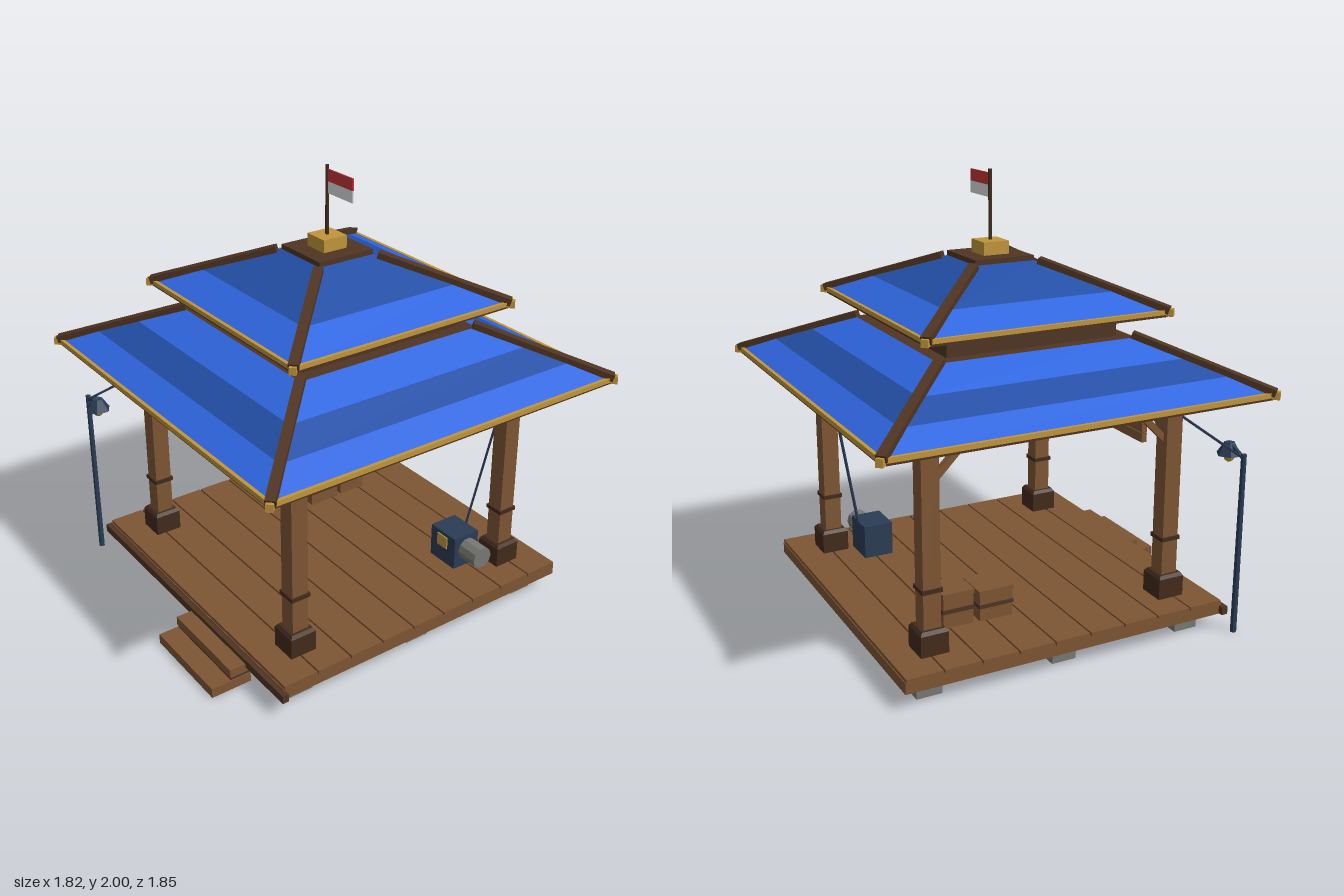
import * as THREE from 'three';

const mat = (name, color) => {
  const m = new THREE.MeshStandardMaterial({ color });
  m.name = name;
  return m;
};

export function createModel() {
  const blue = mat('roof blue', 0x2f66e0), darkBlue = mat('roof dark blue', 0x234fa6);
  const gold = mat('gold', 0xc0953b), wood = mat('wood', 0x7d5533);
  const darkWood = mat('dark wood', 0x4f3422), deepWood = mat('deep wood', 0x422b1c);
  const stone = mat('stone', 0x777773), navy = mat('navy metal', 0x2b3c54);
  const red = mat('flag red', 0xc23434), white = mat('flag white', 0xdcdcdc);

  const root = new THREE.Group();
  root.name = 'pavilion';
  // Symmetric structure, centred slightly behind the origin
  const hall = new THREE.Group();
  hall.name = 'hall';
  hall.position.z = -0.02;
  root.add(hall);

  const add = (parent, name, geo, m, x = 0, y = 0, z = 0) => {
    const mesh = new THREE.Mesh(geo, m);
    mesh.name = name;
    mesh.position.set(x, y, z);
    parent.add(mesh);
    return mesh;
  };
  // Box given by its centre in x and z and its bottom and top heights
  const box = (parent, name, m, w, y0, y1, d, x = 0, z = 0) =>
    add(parent, name, new THREE.BoxGeometry(w, y1 - y0, d), m, x, (y0 + y1) / 2, z);
  // Square bar between two points
  const bar = (parent, name, m, a, b, w, h = w) => {
    const p = new THREE.Vector3(...a), q = new THREE.Vector3(...b);
    const mesh = new THREE.Mesh(new THREE.BoxGeometry(w, h, p.distanceTo(q)), m);
    mesh.name = name;
    mesh.position.copy(p).add(q).multiplyScalar(0.5);
    mesh.lookAt(q);
    parent.add(mesh);
    return mesh;
  };
  // Flat-faced cylinder or frustum
  const facet = (rTop, rBottom, h, sides, open = false) => {
    const g = new THREE.CylinderGeometry(rTop, rBottom, h, sides, 1, open).toNonIndexed();
    g.computeVertexNormals();
    return g;
  };
  // Four-sided frustum with half-widths r0 (bottom) and r1 (top)
  const frustum = (parent, name, m, r0, y0, r1, y1, open) => {
    const g = facet(r1 * Math.SQRT2, r0 * Math.SQRT2, y1 - y0, 4, open);
    g.rotateY(Math.PI / 4);
    return add(parent, name, g, m, 0, (y0 + y1) / 2, 0);
  };
  const corners = [[1, 1], [1, -1], [-1, -1], [-1, 1]];

  // Foundation stones
  for (const x of [-0.63, 0, 0.63])
    for (const z of [-0.625, 0, 0.625]) box(hall, 'foundationStone', stone, 0.115, 0, 0.08, 0.115, x, z);

  // Deck: frame, planks running across, front rim
  box(hall, 'deckFrame', wood, 1.52, 0.08, 0.13, 1.52);
  const n = 9, pitch = 1.52 / n;
  for (let i = 0; i < n; i++)
    box(hall, 'deckPlank', wood, 1.525, 0.125, 0.146, pitch - 0.008, 0, -0.76 + pitch * (i + 0.5));
  box(hall, 'deckGapFloor', deepWood, 1.5, 0.13, 0.132, 1.5);
  box(hall, 'frontRim', darkWood, 1.566, 0.083, 0.12, 0.03, 0, 0.765);

  // Steps
  box(root, 'lowerStep', wood, 0.45, 0, 0.045, 0.19, 0.275, 0.83);
  box(root, 'upperStep', wood, 0.45, 0.06, 0.1, 0.095, 0.275, 0.787);
  box(root, 'stepRiser', darkWood, 0.44, 0.04, 0.062, 0.09, 0.275, 0.785);

  // Posts with bases, collars, capitals and braces
  const P = 0.575;
  for (const [sx, sz] of corners) {
    const post = new THREE.Group();
    post.name = 'cornerPost';
    post.position.set(sx * P, 0, sz * P);
    hall.add(post);
    box(post, 'postBase', deepWood, 0.125, 0.145, 0.24, 0.125);
    frustum(post, 'postBaseTop', deepWood, 0.0625, 0.24, 0.052, 0.255);
    box(post, 'postShaft', wood, 0.078, 0.25, 1.0, 0.078);
    box(post, 'postCollar', deepWood, 0.092, 0.412, 0.43, 0.092);
    frustum(post, 'postCapital', darkWood, 0.045, 0.99, 0.058, 1.03);
    box(post, 'beamJoint', deepWood, 0.125, 1.03, 1.088, 0.125);
    bar(post, 'sideBrace', wood, [-sx * 0.02, 0.87, 0], [-sx * 0.19, 1.04, 0], 0.028);
    bar(post, 'depthBrace', wood, [0, 0.87, -sz * 0.02], [0, 1.04, -sz * 0.19], 0.028);
  }

  // Top beams
  for (const s of [-1, 1]) {
    box(hall, 'crossBeam', darkWood, 1.27, 1.035, 1.085, 0.07, 0, s * P);
    box(hall, 'sideBeam', darkWood, 0.07, 1.035, 1.085, 1.27, s * P, 0);
  }

  // Roof tier: soffit, gold eave, coloured bands, hip beams
  const roofTier = (name, bands, eaveY, hipEnd) => {
    const tier = new THREE.Group();
    tier.name = name;
    hall.add(tier);
    const r = bands[0][0], [re, ye] = hipEnd, R = r + 0.005;
    box(tier, 'soffit', darkWood, 2 * r, eaveY, eaveY + 0.016, 2 * r);
    for (const s of [-1, 1]) {
      box(tier, 'goldEave', gold, 2 * R, eaveY + 0.012, bands[0][1] + 0.006, 0.016, 0, s * r);
      box(tier, 'goldEaveSide', gold, 0.016, eaveY + 0.012, bands[0][1] + 0.006, 2 * R, s * r, 0);
    }
    for (let i = 0; i + 1 < bands.length; i++)
      frustum(tier, 'roofBand', i % 2 ? darkBlue : blue, ...bands[i], ...bands[i + 1], true);
    const [rt, yt] = bands[bands.length - 1];
    box(tier, 'roofTop', darkWood, 2 * rt, yt - 0.004, yt, 2 * rt);
    for (const [sx, sz] of corners) {
      const y0 = bands[0][1] + 0.004;
      bar(tier, 'hipBeam', darkWood, [sx * R, y0, sz * R], [sx * re, ye, sz * re], 0.042, 0.032);
      const tip = box(tier, 'hipTip', gold, 0.03, eaveY + 0.005, y0 + 0.008, 0.03, sx * (R + 0.002), sz * (R + 0.002));
      tip.rotation.y = Math.PI / 4;
    }
  };
  roofTier('lowerRoof', [[0.88, 1.115], [0.755, 1.178], [0.62, 1.24], [0.46, 1.312]], 1.088, [0.45, 1.322]);
  box(hall, 'roofNeck', darkWood, 0.8, 1.305, 1.43, 0.8);
  box(hall, 'neckTrim', gold, 0.812, 1.393, 1.405, 0.812);
  roofTier('upperRoof', [[0.555, 1.435], [0.4, 1.508], [0.14, 1.618]], 1.41, [0.155, 1.618]);

  // Finial, pole and flag
  box(hall, 'roofCap', darkWood, 0.28, 1.612, 1.64, 0.28);
  box(hall, 'finialBlock', gold, 0.12, 1.64, 1.697, 0.12);
  add(hall, 'flagPole', new THREE.CylinderGeometry(0.008, 0.008, 0.31, 8), deepWood, 0, 1.845, 0);
  box(hall, 'flagRedStripe', red, 0.172, 1.931, 1.983, 0.006, 0.095);
  box(hall, 'flagWhiteStripe', white, 0.172, 1.879, 1.931, 0.006, 0.095);

  // Hanging board of three slats
  for (let i = 0; i < 3; i++) {
    const y = 0.804 + i * 0.046;
    box(root, 'hangingBoardSlat', wood, 0.345, y, y + 0.043, 0.026, -0.228, 0.545);
  }
  box(root, 'hangingBoardBack', deepWood, 0.335, 0.81, 0.935, 0.012, -0.228, 0.545);
  for (const x of [-0.365, -0.087]) box(root, 'hangingCord', navy, 0.008, 0.935, 1.04, 0.008, x, 0.545);

  // Lamp post, arm, shade, bulb and cable
  add(root, 'lampPost', facet(0.012, 0.014, 0.835, 8), navy, -0.8, 0.4175, 0.785);
  bar(root, 'lampArm', navy, [-0.8, 0.815, 0.785], [-0.7, 0.858, 0.785], 0.014);
  add(root, 'lampShade', facet(0.024, 0.058, 0.055, 6), navy, -0.7, 0.832, 0.785);
  add(root, 'lampBulb', new THREE.SphereGeometry(0.024, 10, 8), gold, -0.7, 0.795, 0.785);
  bar(root, 'lampCable', navy, [-0.8, 0.815, 0.785], [-0.595, 0.99, 0.58], 0.009);

  // Crates with bands and lids
  const crate = (x, z, w, h) => {
    const g = new THREE.Group();
    g.name = 'crate';
    g.position.set(x, 0.146, z);
    root.add(g);
    box(g, 'crateBody', wood, w, 0, h, w);
    box(g, 'crateBand', darkWood, w + 0.008, h * 0.42, h * 0.54, w + 0.008);
    box(g, 'crateLid', wood, w + 0.008, h - 0.02, h, w + 0.008);
  };
  crate(-0.38, -0.225, 0.155, 0.14);
  crate(-0.38, -0.4, 0.14, 0.158);

  // Generator with panel, drum and cable
  box(root, 'generatorBody', navy, 0.165, 0.146, 0.305, 0.14, 0.452, -0.43);
  box(root, 'generatorPanel', gold, 0.066, 0.228, 0.288, 0.008, 0.45, -0.358);
  const drum = add(root, 'generatorDrum', facet(0.052, 0.052, 0.13, 10), stone, 0.575, 0.235, -0.435);
  drum.rotation.z = Math.PI / 2;
  bar(root, 'generatorCable', navy, [0.45, 0.3, -0.5], [0.545, 0.9, -0.57], 0.01);

  return root;
}
